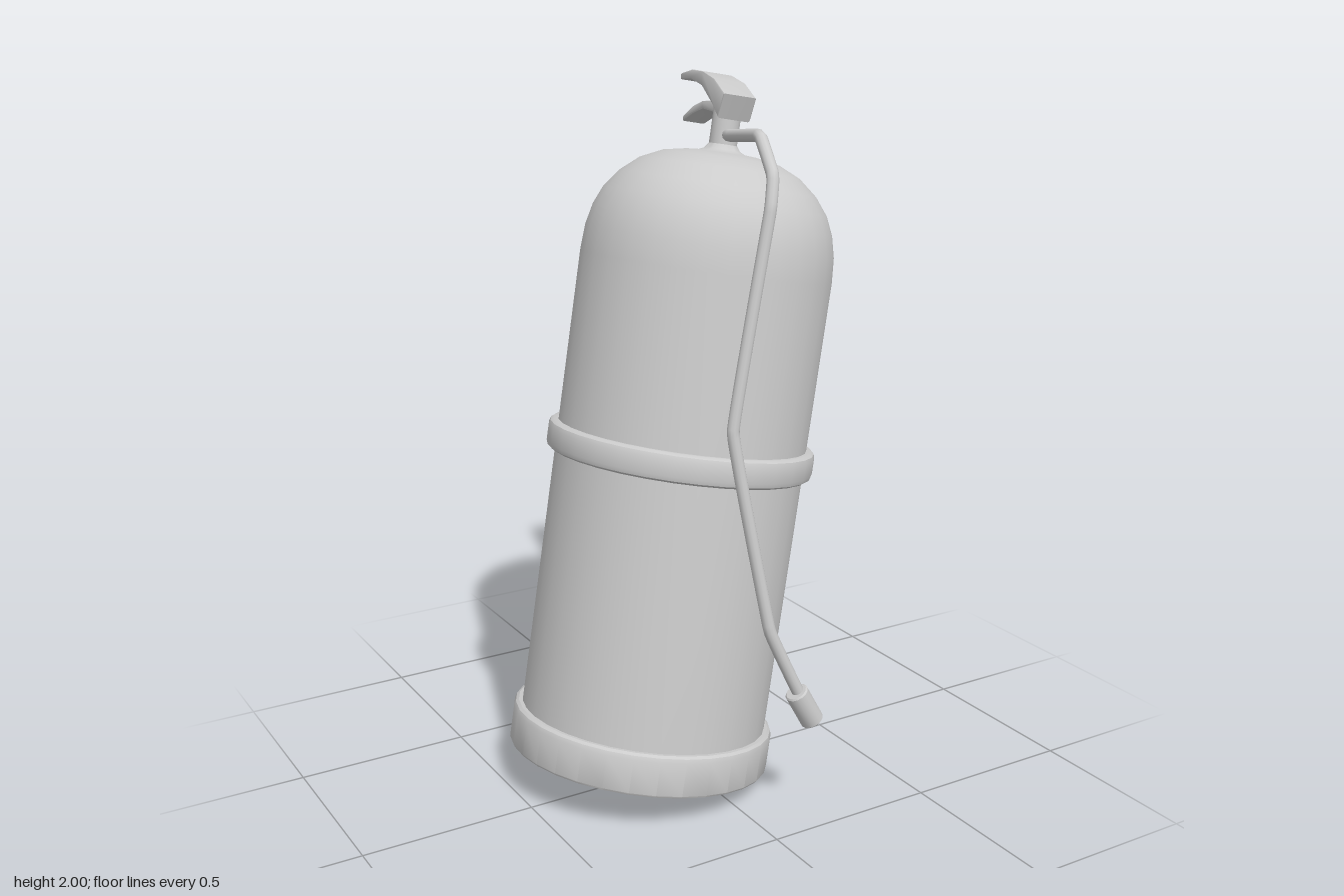
import * as THREE from 'three';
import { toCreasedNormals } from 'three/addons/utils/BufferGeometryUtils.js';

const material = new THREE.MeshStandardMaterial({ color: 0xcccccc });
const v2 = (pts) => pts.map(([x, y]) => new THREE.Vector2(x, y));

function part(name, geometry, parent) {
  const mesh = new THREE.Mesh(geometry, material);
  mesh.name = name;
  parent.add(mesh);
  return mesh;
}

// turned part: [radius, height] from bottom to top
function turned(name, profile, parent, sides = 32) {
  return part(name, toCreasedNormals(new THREE.LatheGeometry(v2(profile), sides), 0.6), parent);
}

// lever: side profile [distance behind the stem, height] given a width
function lever(name, profile, width, parent) {
  const geometry = new THREE.ExtrudeGeometry(new THREE.Shape(v2(profile)), {
    depth: width - 0.012, bevelThickness: 0.006, bevelSize: 0.004, bevelOffset: -0.004, bevelSegments: 2,
  });
  geometry.translate(0, 0, 0.006 - width / 2);
  const mesh = part(name, toCreasedNormals(geometry, 0.6), parent);
  mesh.rotation.y = THREE.MathUtils.degToRad(75);
}

export function createModel() {
  const model = new THREE.Group();
  model.name = 'fireExtinguisher';

  // the cylinder and its head lean together
  const up = new THREE.Vector3(0, 1, 0);
  const leaning = new THREE.Group();
  leaning.name = 'leaningBottle';
  leaning.position.set(-0.13, 0.075, -0.04);
  leaning.quaternion.setFromUnitVectors(up, new THREE.Vector3(0.188, 1, -0.042).normalize());
  model.add(leaning);

  // tank with domed shoulder and a small collar at the neck
  turned('tank', [
    [0.357, 0.05], [0.357, 1.43], [0.352, 1.5], [0.338, 1.56], [0.315, 1.612], [0.278, 1.66],
    [0.225, 1.704], [0.164, 1.732], [0.1, 1.744], [0.065, 1.747], [0.05, 1.754], [0.04, 1.768],
  ], leaning);

  // foot ring with closed bottom
  turned('baseRing', [
    [0, 0], [0.376, 0], [0.38, 0.006], [0.38, 0.1], [0.376, 0.112], [0.368, 0.118], [0.355, 0.118],
  ], leaning);

  // strap round the middle
  turned('middleBand', [
    [0.355, 0.87], [0.37, 0.87], [0.379, 0.876], [0.383, 0.888],
    [0.383, 0.932], [0.379, 0.944], [0.37, 0.95], [0.355, 0.95],
  ], leaning);

  // valve stem
  turned('valveStem', [[0.04, 1.74], [0.04, 1.89], [0, 1.89]], leaning, 16);

  // squeeze levers
  lever('upperLever', [
    [-0.065, 1.835], [0, 1.87], [0.13, 1.925], [0.25, 1.947], [0.355, 1.948],
    [0.355, 1.966], [0.25, 1.974], [0.14, 1.966], [0.02, 1.943], [-0.095, 1.9],
  ], 0.094, leaning);
  lever('lowerLever', [
    [0, 1.85], [0.13, 1.862], [0.22, 1.849], [0.315, 1.828],
    [0.315, 1.843], [0.23, 1.871], [0.14, 1.885], [0, 1.885],
  ], 0.07, leaning);

  // hose with soft bends
  const path = [
    [0.205, 1.838, -0.11], [0.175, 1.843, -0.04], [0.125, 1.865, 0.18], [0.095, 1.775, 0.288], [0.07, 1.69, 0.315],
    [-0.055, 1.13, 0.345], [0.015, 0.59, 0.425], [0.1, 0.395, 0.445],
  ].map((p) => new THREE.Vector3(...p));
  const curve = new THREE.CatmullRomCurve3(path, false, 'catmullrom', 0.08);
  part('hose', new THREE.TubeGeometry(curve, 90, 0.017, 12), model);

  // nozzle at the hose end
  const from = new THREE.Vector3(0.093, 0.4, 0.443);
  const to = new THREE.Vector3(0.147, 0.302, 0.447);
  const length = from.distanceTo(to);
  const nozzle = turned('nozzle', [
    [0, 0], [0.029, 0], [0.033, 0.004], [0.033, length - 0.004], [0.029, length], [0, length],
  ], model, 16);
  nozzle.position.copy(from);
  nozzle.quaternion.setFromUnitVectors(up, to.sub(from).normalize());

  return model;
}
